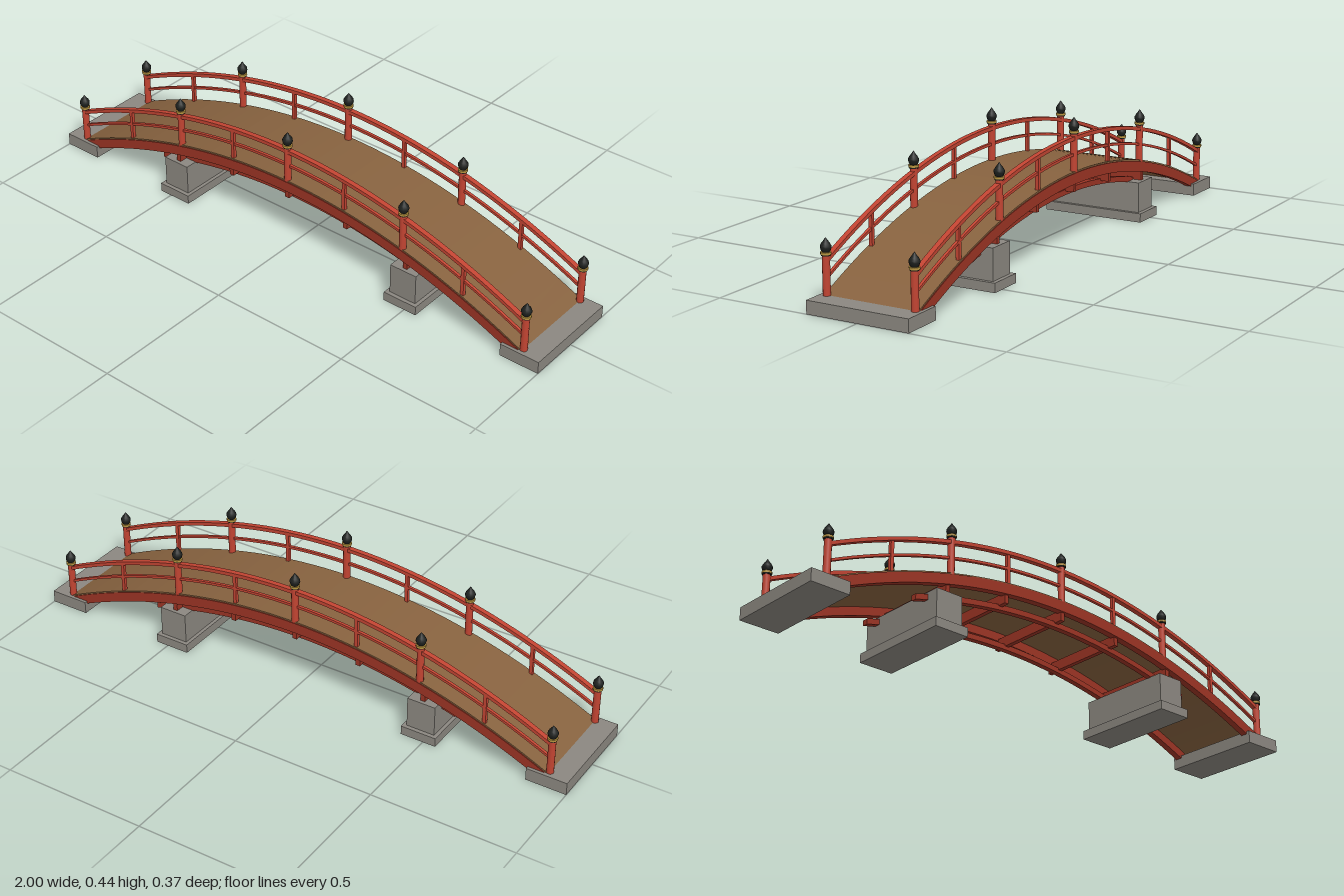
import * as THREE from 'three';

const mat = (name, color) => {
  const m = new THREE.MeshStandardMaterial({ color });
  m.name = name;
  return m;
};

export function createModel() {
  const red = mat('railing red', 0xc24432);
  const darkRed = mat('beam dark red', 0x9c3424);
  const wood = mat('deck wood', 0x87623f);
  const stone = mat('stone', 0x8b8780);
  const black = mat('finial black', 0x1d201e);
  const gold = mat('collar gold', 0xb8953f);

  const bridge = new THREE.Group();
  bridge.name = 'archedBridge';

  const END = 0.93;      // x of the last posts
  const RAIL_Z = 0.155;  // centre line of each railing
  const deckY = (x) => 0.266 - 0.2585 * x * x;

  const add = (parent, name, geometry, material, x = 0, y = 0, z = 0) => {
    const mesh = new THREE.Mesh(geometry, material);
    mesh.name = name;
    mesh.position.set(x, y, z);
    parent.add(mesh);
    return mesh;
  };
  const box = (parent, name, w, h, d, material, x, y, z) =>
    add(parent, name, new THREE.BoxGeometry(w, h, d), material, x, y, z);

  // Beam following the arch, between two heights relative to the deck surface
  const arcBeam = (parent, name, half, low, high, depth, z, material) => {
    const steps = 40;
    const points = [];
    for (let i = 0; i <= steps; i++) {
      const x = -half + (2 * half * i) / steps;
      points.push(new THREE.Vector2(x, deckY(x) + low));
    }
    for (let i = steps; i >= 0; i--) {
      const x = -half + (2 * half * i) / steps;
      points.push(new THREE.Vector2(x, deckY(x) + high));
    }
    const geometry = new THREE.ExtrudeGeometry(new THREE.Shape(points), { depth, bevelEnabled: false });
    geometry.translate(0, 0, -depth / 2);
    return add(parent, name, geometry, material, 0, 0, z);
  };

  // Deck
  arcBeam(bridge, 'deck', 0.935, -0.011, 0, 0.33, 0, wood);

  // Stone abutments and stepped piers
  for (const s of [-1, 1]) {
    box(bridge, 'abutment', 0.14, 0.043, 0.358, stone, s * 0.93, 0.0215, 0);
    box(bridge, 'pierBase', 0.125, 0.031, 0.372, stone, s * 0.482, 0.0155, 0);
    box(bridge, 'pierBlock', 0.1, 0.105, 0.344, stone, s * 0.482, 0.0835, 0);
  }

  // Cross beams between the girders and the lower arches
  for (const x of [-0.48, -0.24, 0, 0.24, 0.48]) {
    box(bridge, 'crossBeam', 0.016, 0.036, 0.32, darkRed, x, deckY(x) - 0.052, 0);
  }

  // Post cap profile, measured up from the top of the post
  const bulbProfile = [
    [0, 0.01], [0.011, 0.01], [0.0145, 0.016], [0.0172, 0.024], [0.0168, 0.03],
    [0.0125, 0.038], [0.007, 0.045], [0.003, 0.051], [0, 0.055],
  ].map(([r, y]) => new THREE.Vector2(r, y));
  const bulbGeometry = new THREE.LatheGeometry(bulbProfile, 12);
  const collarGeometry = new THREE.CylinderGeometry(0.0165, 0.0165, 0.007, 12);
  const baseGeometry = new THREE.CylinderGeometry(0.016, 0.0145, 0.005, 12);

  const POST = 0.122; // post height above the deck
  const post = (parent, x, z) => {
    const group = new THREE.Group();
    group.name = 'post';
    group.position.set(x, deckY(x), z);
    parent.add(group);
    add(group, 'postShaft', new THREE.CylinderGeometry(0.012, 0.012, POST + 0.01, 12), red, 0, (POST - 0.01) / 2, 0);
    add(group, 'finialBase', baseGeometry, black, 0, POST + 0.0025, 0);
    add(group, 'finialCollar', collarGeometry, gold, 0, POST + 0.0075, 0);
    add(group, 'finialBulb', bulbGeometry, black, 0, POST, 0);
  };

  // Girder, lower arch and railing on each side
  for (const s of [-1, 1]) {
    const side = new THREE.Group();
    side.name = s > 0 ? 'frontSide' : 'backSide';
    bridge.add(side);
    const z = s * RAIL_Z;

    arcBeam(side, 'girder', END, -0.041, -0.005, 0.024, s * 0.156, darkRed);
    arcBeam(side, 'lowerArch', 0.58, -0.083, -0.064, 0.02, s * 0.12, darkRed);
    arcBeam(side, 'topRail', END, 0.102, 0.115, 0.018, z, red);
    arcBeam(side, 'middleRail', END, 0.05, 0.059, 0.01, z, red);

    for (let i = -2; i <= 2; i++) post(side, (i * END) / 2, z);
    for (const i of [-1.5, -0.5, 0.5, 1.5]) {
      const x = (i * END) / 2;
      box(side, 'baluster', 0.012, 0.112, 0.012, red, x, deckY(x) + 0.05, z);
    }
  }
  return bridge;
}
